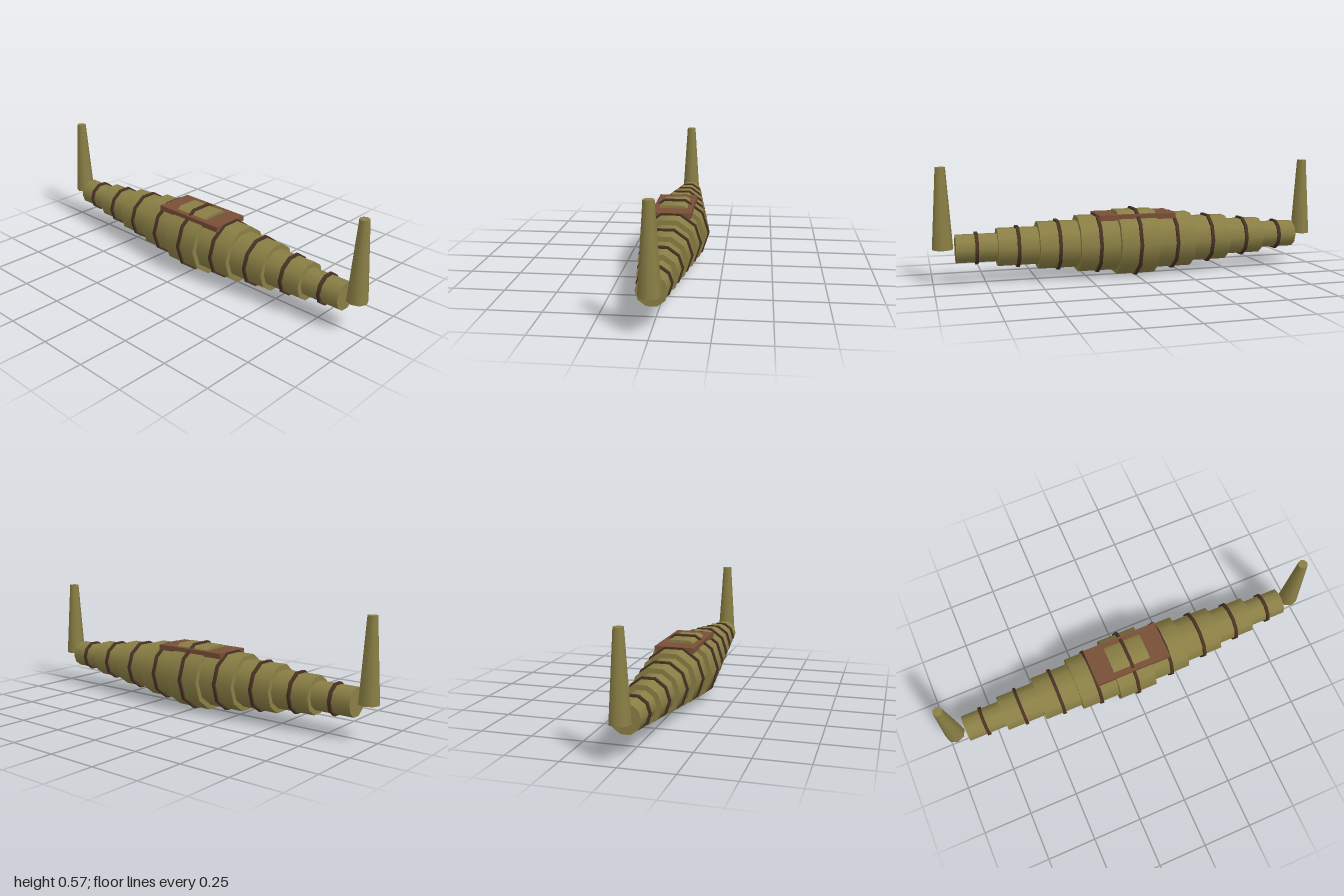
import * as THREE from 'three';

const olive = new THREE.MeshStandardMaterial({ name: 'olive', color: 0x8a7f45 });
const darkBrown = new THREE.MeshStandardMaterial({ name: 'darkBrown', color: 0x4a3224 });
const leather = new THREE.MeshStandardMaterial({ name: 'leatherBrown', color: 0x784f37 });

const AXIS_Y = 0.17;
const PITCH = 0.198;

export function createModel() {
  const group = new THREE.Group();

  const add = (name, geometry, material, x, y, z) => {
    const mesh = new THREE.Mesh(geometry, material);
    mesh.name = name;
    mesh.position.set(x, y, z);
    group.add(mesh);
  };

  // Ten-sided drum lying along z, with flat faces at top and bottom
  const drum = (radius, length) =>
    new THREE.CylinderGeometry(radius, radius, length, 10, 1, false, Math.PI / 2)
      .rotateX(Math.PI / 2);

  // Stepped body segments, each with a thin band around its middle
  for (let i = -4; i <= 4; i++) {
    const radius = 0.168 - 0.0245 * Math.abs(i);
    add('bodySegment', drum(radius, PITCH), olive, 0, AXIS_Y, i * PITCH);
    add('bodyBand', drum(radius + 0.01, 0.016), darkBrown, 0, AXIS_Y, i * PITCH);
  }

  // Tapered upright posts at both ends
  for (const side of [1, -1]) {
    add(side > 0 ? 'frontPost' : 'backPost',
      new THREE.CylinderGeometry(0.024, 0.05, 0.396, 8), olive, 0, 0.368, side * 0.95);
  }

  // Flat saddle plate, with the middle segment rising through it
  add('saddle', new THREE.BoxGeometry(0.198, 0.027, 0.396), leather, 0, 0.303, 0);

  return group;
}
